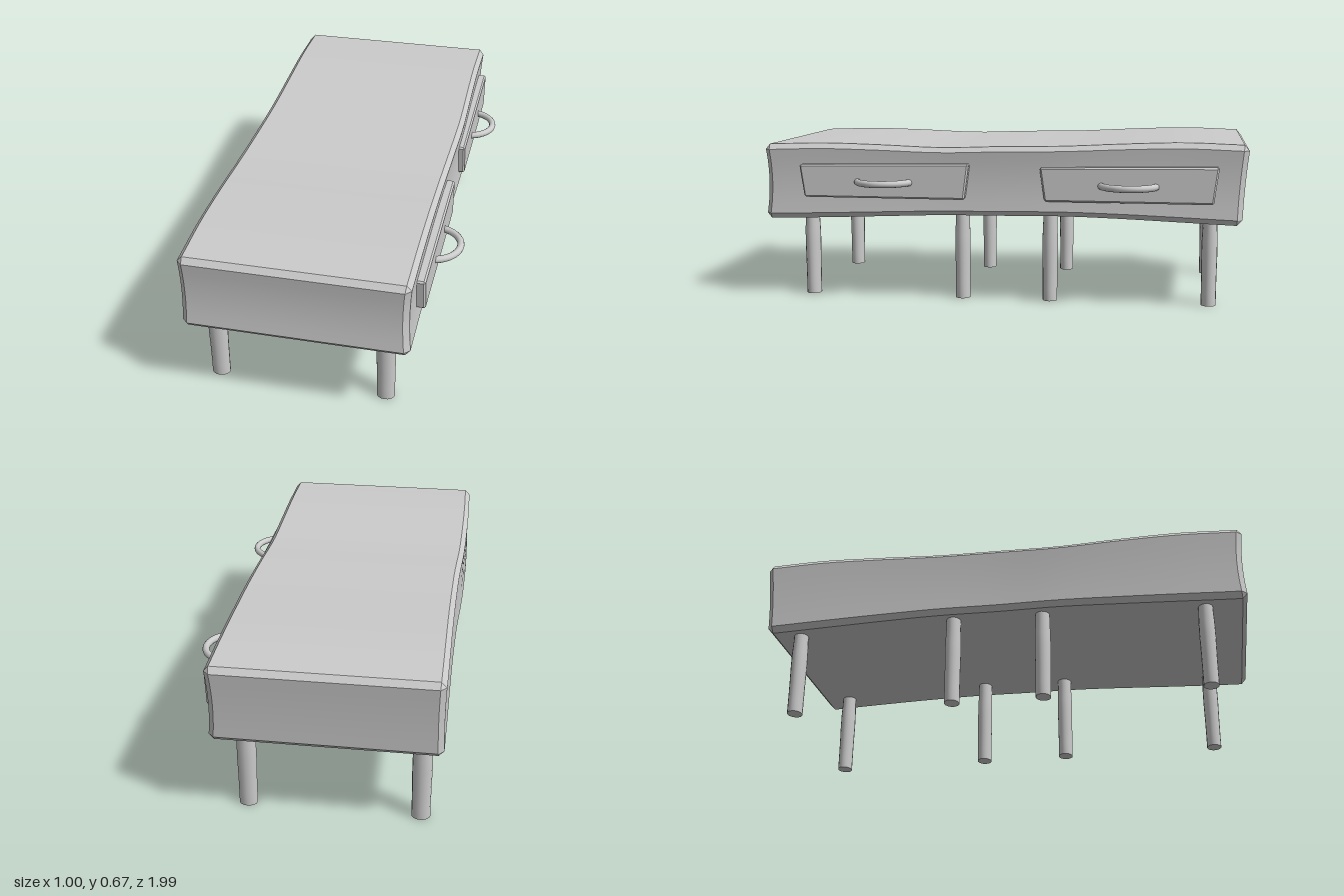
import * as THREE from 'three';
import { toCreasedNormals } from 'three/addons/utils/BufferGeometryUtils.js';

const material = new THREE.MeshStandardMaterial({ color: 0xcccccc });

// Smooth curve through evenly spaced values, running from z = 1 to z = -1
function along(values) {
  const curve = new THREE.SplineCurve(values.map((v, i) => new THREE.Vector2(i, v)));
  return z => curve.getPoint(THREE.MathUtils.clamp((1 - z) / 2, 0, 1)).y;
}
const topY = along([0.648, 0.655, 0.650, 0.642, 0.650, 0.655, 0.667, 0.675, 0.668]);
const bottomY = along([0.335, 0.342, 0.352, 0.362, 0.366, 0.37, 0.364, 0.354, 0.345]);
const rightX = along([0.378, 0.376, 0.374, 0.374, 0.38, 0.384, 0.38, 0.376, 0.376]);
const leftX = along([-0.492, -0.498, -0.5, -0.498, -0.49, -0.488, -0.489, -0.492, -0.494]);

// Subdivided box with chamfered edges; coordinates run from -1 to 1 before placing
function chamferedBox(segments, halfSize, chamfer, place) {
  const geo = new THREE.BoxGeometry(2, 2, 2, ...segments);
  const pos = geo.attributes.position;
  for (let i = 0; i < pos.count; i++) {
    const c = [pos.getX(i), pos.getY(i), pos.getZ(i)];
    const outer = c.map(v => Math.abs(v) > 0.999);
    const edges = outer.filter(Boolean).length;
    const pull = edges === 3 ? 2 / 3 : edges === 2 ? 0.5 : 0;
    const q = c.map((v, k) => {
      const inset = 1 - chamfer / halfSize[k];
      if (outer[k]) return Math.sign(v) * (1 - pull * chamfer / halfSize[k]);
      // spread the inner grid lines so the outermost sit on the chamfer line
      return v / (1 - 2 / segments[k]) * inset;
    });
    pos.setXYZ(i, ...place(...q));
  }
  return toCreasedNormals(geo, 0.55);
}

function add(parent, name, geometry) {
  const mesh = new THREE.Mesh(geometry, material);
  mesh.name = name;
  parent.add(mesh);
  return mesh;
}

// Bench body: sagging along its length, with slightly hollow sides and ends
function bodyGeometry() {
  return chamferedBox([6, 8, 30], [0.44, 0.155, 1], 0.022, (u, v, w) => {
    const hollow = 1 - v * v;
    const endZ = w > 0 ? 0.998 - 0.012 * hollow : 0.986 + 0.012 * v - 0.004 * hollow;
    const z = w * endZ;
    const s = (u + 1) / 2;
    const t = (v + 1) / 2;
    const x = THREE.MathUtils.lerp(leftX(z) + 0.004 * hollow, rightX(z) + 0.006 - 0.01 * hollow, s);
    return [x, THREE.MathUtils.lerp(bottomY(z), topY(z), t), z];
  });
}

// Drawer front: a thin panel, a little wider at the top
function drawerGeometry(zc, top) {
  return chamferedBox([4, 4, 8], [0.03, 0.071, 0.355], 0.007, (u, v, w) => [
    0.377 + 0.03 * u,
    THREE.MathUtils.lerp(0.433, top - 0.006 * w, (v + 1) / 2),
    zc + w * (0.347 + 0.01 * v),
  ]);
}

// Leg: oval post with a gentle swelling in the upper half
function legGeometry() {
  const profile = [[0, 0], [0.0365, 0], [0.0365, 0.05], [0.037, 0.13], [0.0385, 0.21],
    [0.038, 0.27], [0.035, 0.33], [0.035, 0.39], [0, 0.39]];
  const geo = new THREE.LatheGeometry(profile.map(p => new THREE.Vector2(...p)), 16);
  geo.scale(1, 1, 0.84);
  return toCreasedNormals(geo, 0.7);
}

export function createModel() {
  const group = new THREE.Group();
  add(group, 'body', bodyGeometry());

  // Two drawers with bow handles on the +x side
  for (const [zc, top] of [[0.48, 0.574], [-0.523, 0.576]]) {
    const drawer = new THREE.Group();
    drawer.name = 'drawer';
    add(drawer, 'drawerFront', drawerGeometry(zc, top));
    const handle = add(drawer, 'handle', new THREE.TorusGeometry(0.113, 0.014, 12, 28, Math.PI));
    handle.rotation.set(Math.PI / 2, 0, -Math.PI / 2);
    handle.position.set(0.373, 0.5, zc);
    group.add(drawer);
  }

  // Eight legs in two rows
  const leg = legGeometry();
  for (const x of [-0.41, 0.264]) {
    for (const z of [0.83, 0.175, -0.195, -0.85]) {
      add(group, 'leg', leg).position.set(x, 0, z);
    }
  }
  return group;
}
